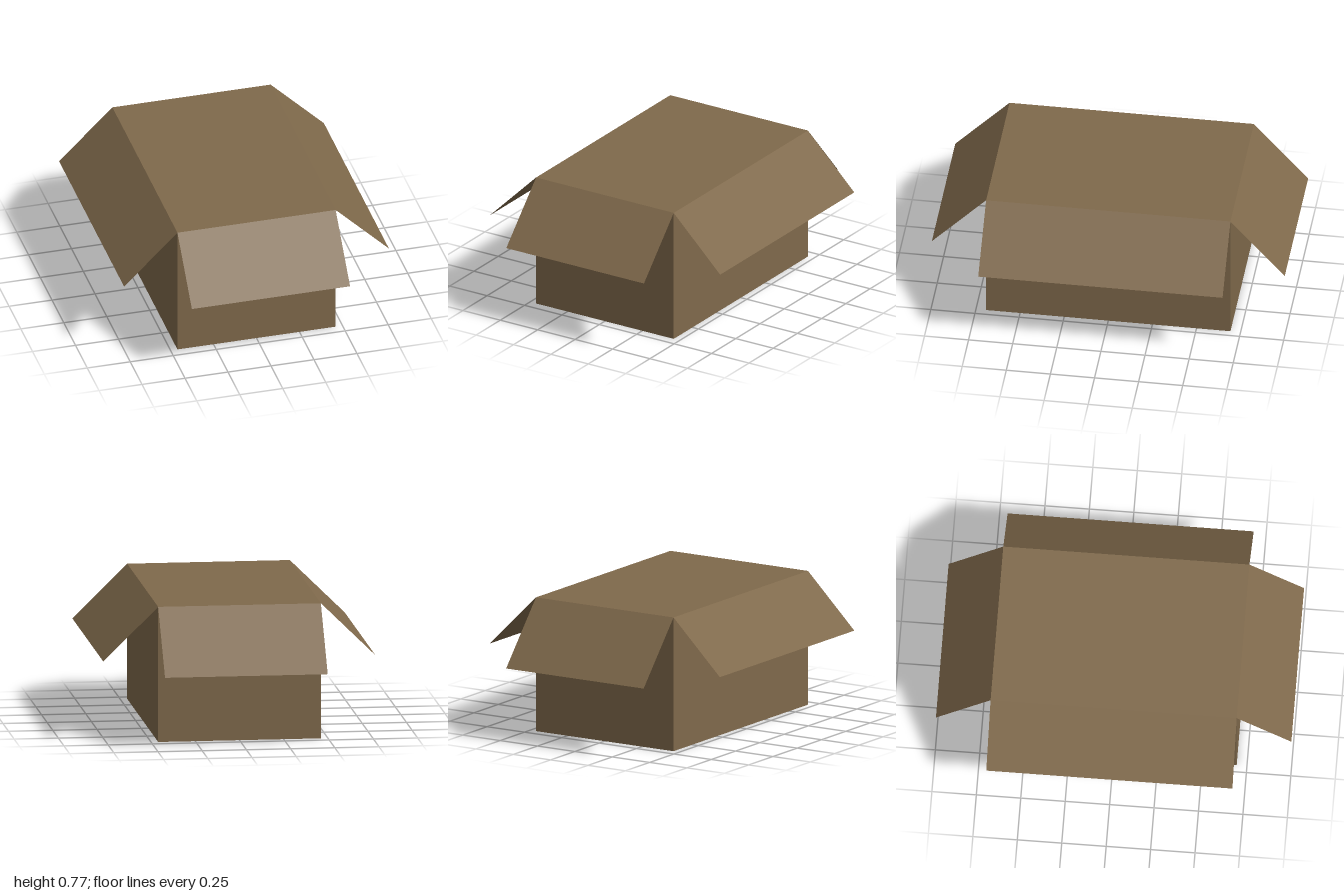
import * as THREE from 'three';

const W = 0.92, H = 0.77, D = 1.385;

export function createModel() {
  const model = new THREE.Group();
  model.name = 'cardboardBox';

  const cardboard = new THREE.MeshStandardMaterial({ color: 0x7f694b });
  cardboard.name = 'cardboard brown';
  const flapCardboard = cardboard;
  flapCardboard.side = THREE.DoubleSide;

  // Closed carton
  const body = new THREE.Mesh(new THREE.BoxGeometry(W, H, D), cardboard);
  body.name = 'boxBody';
  body.position.y = H / 2;
  model.add(body);

  // Thin flap hinged on a top edge, sloping outward and down
  function addFlap(name, width, hinge, turn, reach, drop) {
    const length = Math.hypot(reach, drop);
    const geometry = new THREE.PlaneGeometry(width, length);
    geometry.translate(0, -length / 2, 0);
    geometry.rotateX(-Math.atan2(reach, drop));
    geometry.translate(0, H, hinge);
    const flap = new THREE.Mesh(geometry, flapCardboard);
    flap.name = name;
    flap.rotation.y = turn;
    model.add(flap);
  }

  addFlap('frontFlap', W, D / 2, 0, 0.3075, 0.32);
  addFlap('backFlap', W, D / 2, Math.PI, 0.3075, 0.35);
  addFlap('leftFlap', D, W / 2, Math.PI / 2, 0.31, 0.305);
  addFlap('rightFlap', D, W / 2, -Math.PI / 2, 0.31, 0.305);

  return model;
}
